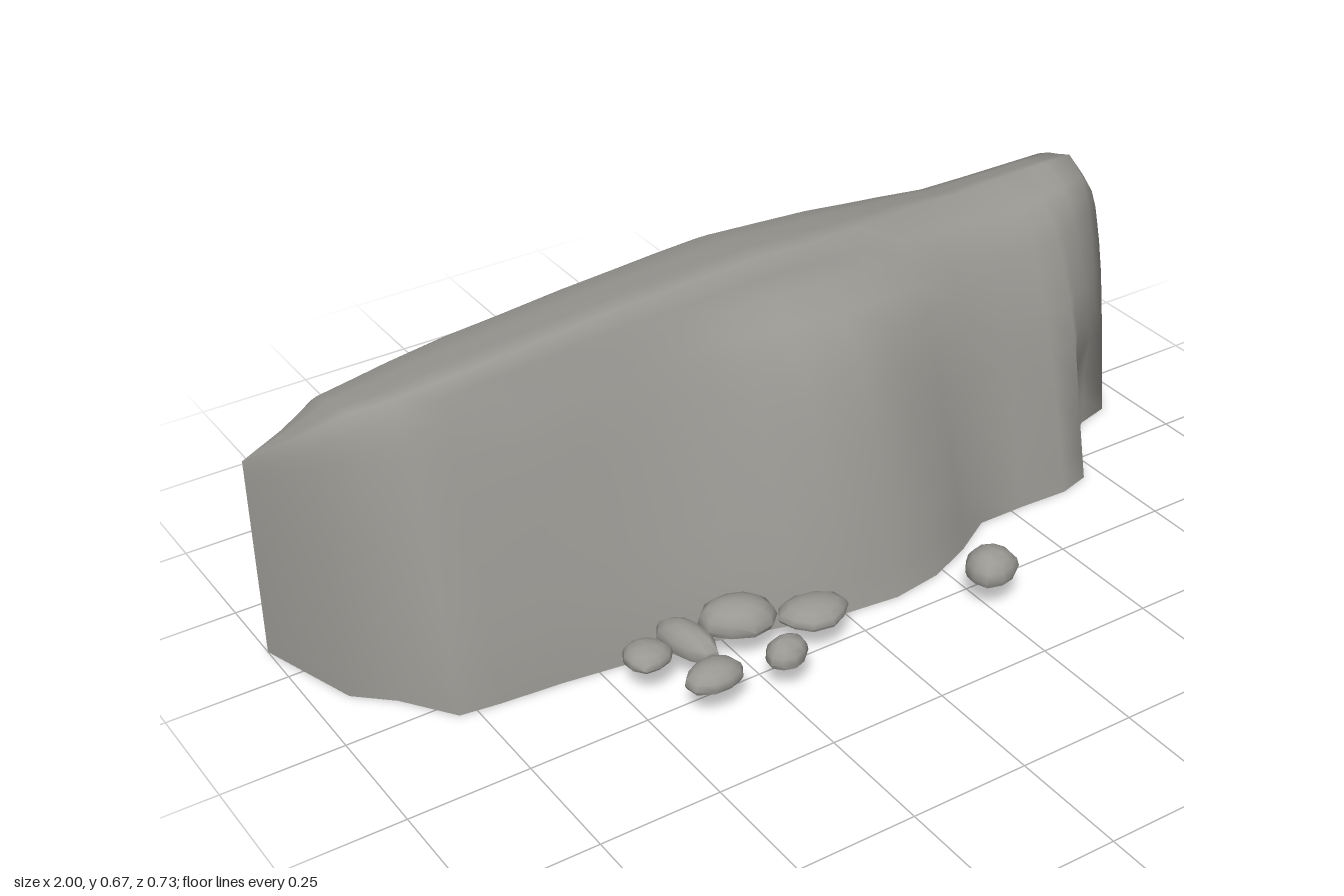
import * as THREE from 'three';
import { toCreasedNormals } from 'three/addons/utils/BufferGeometryUtils.js';

const { lerp, smoothstep } = THREE.MathUtils;

// Outline of the cliff along x: skyline height, front foot z, crest z
const SKYLINE = [
  [-1, 0.44], [-0.93, 0.535], [-0.86, 0.595], [-0.75, 0.62], [-0.58, 0.643], [-0.32, 0.663],
  [0, 0.674], [0.23, 0.663], [0.42, 0.638], [0.55, 0.62], [0.85, 0.618], [1, 0.455],
];
const FOOT = [
  [-1, -0.345], [-0.93, -0.13], [-0.86, -0.065], [-0.785, 0.04], [-0.7, 0.052], [-0.58, 0.062],
  [-0.45, 0.08], [-0.32, 0.1], [-0.2, 0.13], [-0.1, 0.158], [0, 0.182], [0.12, 0.195],
  [0.23, 0.178], [0.33, 0.135], [0.42, 0.08], [0.53, 0.08], [0.64, 0.085], [0.71, 0.065],
  [0.74, 0], [0.78, -0.065], [0.85, -0.11], [0.925, -0.13], [1, -0.345],
];
const CREST = [
  [-1, -0.345], [-0.93, -0.22], [-0.86, -0.15], [-0.78, -0.12], [-0.6, -0.1], [0.2, -0.112],
  [0.42, -0.17], [0.6, -0.2], [0.85, -0.21], [0.925, -0.25], [1, -0.345],
];

// Front face: height fractions, and how far each leans back towards the crest
const HEIGHTS = [0, 0.09, 0.2, 0.35, 0.5, 0.63, 0.75, 0.83, 0.89, 0.95, 1];
const STEEP = [0, 0.05, 0.13, 0.27, 0.42, 0.55, 0.68, 0.77, 0.84, 0.92, 1];
const LEDGE = [0, 0.05, 0.1, 0.18, 0.27, 0.37, 0.49, 0.66, 0.87, 0.92, 1];
const ROUND = [0, 0.04, 0.09, 0.17, 0.25, 0.33, 0.43, 0.52, 0.59, 0.72, 1];

// Top and back: [share of the way from crest to back, drop below the crest]
const SHOULDER = [[0.25, 0.012], [0.5, 0.022], [0.75, 0.038], [0.92, 0.065], [1, 0.11]];

// Value of an outline at x
function along(outline, x) {
  const i = Math.max(1, outline.findIndex(([px]) => px >= x));
  const [x0, v0] = outline[i - 1];
  const [x1, v1] = outline[i];
  return lerp(v0, v1, (x - x0) / (x1 - x0));
}

// Soft swelling centred on one x
const bump = (x, centre, width) => Math.exp(-(((x - centre) / width) ** 2));

// Points of one cross-section, from the front foot over the crest to the back foot
function section([x, foot]) {
  const top = along(SKYLINE, x);
  const crest = along(CREST, x);
  const back = -0.345 - 0.006 * (1 - Math.abs(x)) - 0.017 * bump(x, 0, 0.25);
  const ledge = bump(x, 0.1, 0.2) + 0.3 * bump(x, -0.53, 0.1);
  const round = Math.max(smoothstep(x, 0.2, 0.45), 0.7 * smoothstep(-x, 0.7, 0.9));
  const undercut = 0.1 * bump(x, 0.8, 0.065);

  const points = HEIGHTS.map((h, k) => {
    const lean = lerp(lerp(STEEP[k], LEDGE[k], ledge), ROUND[k], round);
    const start = foot + undercut * smoothstep(h, 0.15, 0.55);
    return [x, h * top, lerp(start, crest, lean)];
  });
  const depth = Math.min(1, (crest - back) / 0.13);
  for (const [t, drop] of SHOULDER) {
    points.push([x, top - drop * depth, lerp(crest, back, t)]);
  }
  for (const f of [0.75, 0.4, 0]) points.push([x, f * (top - 0.11 * depth), back]);
  return points;
}

// Skin over all the cross-sections, open underneath
function cliffGeometry() {
  const rows = FOOT.map(section);
  const n = rows[0].length;
  const index = [];
  for (let i = 0; i < rows.length - 1; i++) {
    for (let j = 0; j < n - 1; j++) {
      const a = i * n + j;
      const b = a + n;
      index.push(a, b, a + 1, b, b + 1, a + 1);
    }
  }
  const geometry = new THREE.BufferGeometry();
  geometry.setAttribute('position', new THREE.Float32BufferAttribute(rows.flat(2), 3));
  geometry.setIndex(index);
  geometry.computeVertexNormals();
  return geometry;
}

// Irregular pebble with a flat underside
function stoneGeometry(rx, height, rz, seed) {
  const geometry = new THREE.SphereGeometry(1, 10, 8);
  const p = geometry.attributes.position;
  for (let i = 0; i < p.count; i++) {
    const x = p.getX(i), y = p.getY(i), z = p.getZ(i);
    const wobble = 1 + 0.09 * Math.sin(3 * x + seed * 2) * Math.cos(2.5 * z + seed);
    p.setXYZ(i, x * rx * wobble, Math.max(0, y * 0.8 + 0.2) * height, z * rz * wobble);
  }
  return toCreasedNormals(geometry, 0.9);
}

// Stones: x, z, half width, height, half depth, turn
const STONES = [
  [-0.45, 0.17, 0.05, 0.035, 0.048, 0.4],
  [-0.365, 0.178, 0.04, 0.05, 0.08, 0.15],
  [-0.245, 0.17, 0.08, 0.058, 0.058, -0.4],
  [-0.11, 0.23, 0.07, 0.038, 0.055, -0.2],
  [-0.38, 0.295, 0.06, 0.042, 0.045, -0.1],
  [-0.23, 0.315, 0.045, 0.048, 0.037, 0.3],
  [0.26, 0.312, 0.057, 0.058, 0.053, 0.2],
];

export function createModel() {
  const model = new THREE.Group();
  const rock = new THREE.MeshStandardMaterial({ color: 0x9a9893, side: THREE.DoubleSide });
  rock.name = 'grey rock';

  const cliff = new THREE.Mesh(cliffGeometry(), rock);
  cliff.name = 'cliffWall';
  model.add(cliff);

  const stones = new THREE.Group();
  stones.name = 'looseStones';
  STONES.forEach(([x, z, rx, height, rz, turn], i) => {
    const stone = new THREE.Mesh(stoneGeometry(rx, height, rz, i + 1), rock);
    stone.name = 'stone';
    stone.position.set(x, 0.071, z);
    stone.rotation.y = turn;
    stones.add(stone);
  });
  model.add(stones);
  return model;
}
